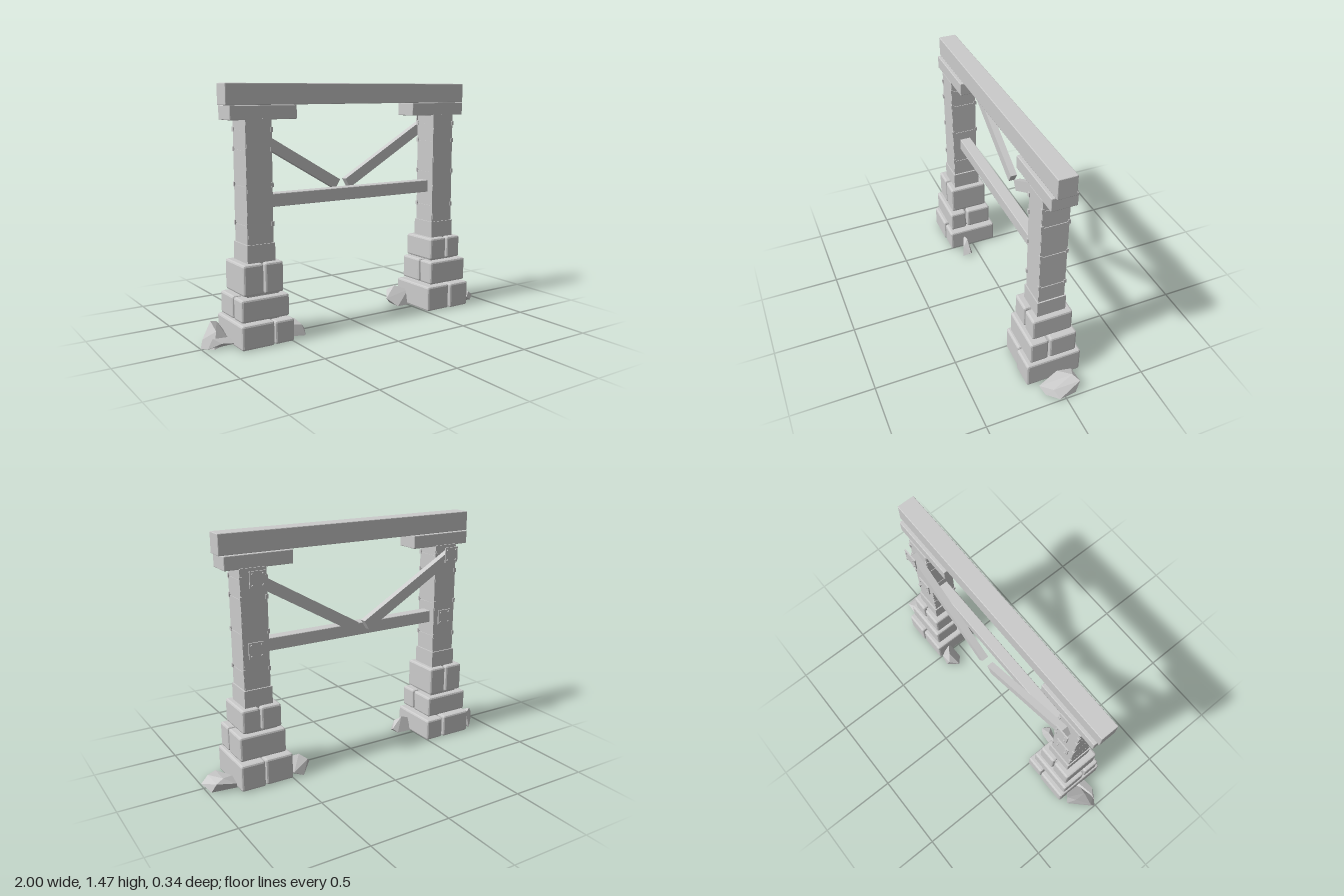
import * as THREE from 'three';
import { RoundedBoxGeometry } from 'three/addons/geometries/RoundedBoxGeometry.js';
import { ConvexGeometry } from 'three/addons/geometries/ConvexGeometry.js';

const material = new THREE.MeshStandardMaterial({ color: 0xcccccc, flatShading: true });

function add(parent, name, geometry) {
  const mesh = new THREE.Mesh(geometry, material);
  mesh.name = name;
  parent.add(mesh);
  return mesh;
}

// Box given by its extents; a bevel chamfers every edge
function block(parent, name, [x0, x1], [y0, y1], [z0, z1], bevel = 0) {
  const size = [x1 - x0, y1 - y0, z1 - z0];
  const geometry = bevel ? new RoundedBoxGeometry(...size, 1, bevel) : new THREE.BoxGeometry(...size);
  const mesh = add(parent, name, geometry);
  mesh.position.set((x0 + x1) / 2, (y0 + y1) / 2, (z0 + z1) / 2);
  return mesh;
}

// Square plate with four bolts, facing backwards
function boltedPlate(parent, x, y, z) {
  const plate = new THREE.Group();
  plate.name = 'boltedPlate';
  plate.position.set(x, y, z);
  add(plate, 'plate', new THREE.BoxGeometry(0.095, 0.095, 0.008));
  for (const sx of [-1, 1]) for (const sy of [-1, 1]) {
    const bolt = add(plate, 'bolt', new THREE.CylinderGeometry(0.006, 0.006, 0.008, 6));
    bolt.rotation.x = Math.PI / 2;
    bolt.position.set(sx * 0.032, sy * 0.032, -0.007);
  }
  parent.add(plate);
}

// Timber post with a foot, segmented side boards and corner cleats
function post(parent, x) {
  const g = new THREE.Group();
  g.name = 'post';
  g.position.x = x;
  block(g, 'postCore', [-0.077, 0.077], [0.46, 1.28], [-0.077, 0.083]);
  block(g, 'postFoot', [-0.087, 0.087], [0.46, 0.58], [-0.086, 0.09]);
  const seams = [0.58, 0.69, 0.91, 1.11, 1.22, 1.278];
  for (const s of [-1, 1]) {
    for (let i = 0; i < seams.length - 1; i++) {
      const board = block(g, 'sideBoard', [-0.004, 0.004], [seams[i] + 0.003, seams[i + 1] - 0.003], [-0.076, 0.082]);
      board.position.x = s * 0.077;
    }
    for (const y of seams.slice(1, -1)) for (const z of [-0.074, 0.08]) {
      const cleat = add(g, 'cornerCleat', new THREE.BoxGeometry(0.016, 0.026, 0.016));
      cleat.position.set(s * 0.077, y, z);
    }
  }
  boltedPlate(g, 0, 1.225, -0.13);
  boltedPlate(g, 0, 0.81, -0.082);
  parent.add(g);
}

// Diagonal brace on the back of the frame, between two points
function brace(parent, [x0, y0], [x1, y1]) {
  const mesh = add(parent, 'diagonalBrace',
    new THREE.BoxGeometry(Math.hypot(x1 - x0, y1 - y0), 0.066, 0.042));
  mesh.position.set((x0 + x1) / 2, (y0 + y1) / 2, -0.106);
  mesh.rotation.z = Math.atan2(y1 - y0, x1 - x0);
}

function rock(parent, points) {
  add(parent, 'rubbleRock', new ConvexGeometry(points.map(p => new THREE.Vector3(...p))));
}

export function createModel() {
  const model = new THREE.Group();
  model.name = 'timberGateFrame';

  // Lintel, corbels and tie beam
  block(model, 'topBeam', [-0.845, 0.855], [1.355, 1.475], [-0.05, 0.06], 0.004);
  block(model, 'corbel', [-0.83, -0.415], [1.275, 1.355], [-0.07, 0.08], 0.004);
  block(model, 'corbel', [0.42, 0.835], [1.275, 1.355], [-0.07, 0.08], 0.004);
  block(model, 'tieBeam', [-0.6, 0.61], [0.775, 0.852], [-0.035, 0.035], 0.004);

  post(model, -0.66);
  post(model, 0.67);
  brace(model, [-0.035, 0.858], [-0.67, 1.225]);
  brace(model, [0.04, 0.858], [0.685, 1.23]);

  // Stone footings: [x range, y range, z range] of each block
  const stones = [
    [[-0.825, -0.622], [0.003, 0.147], [-0.17, 0.165]],
    [[-0.615, -0.492], [0.003, 0.14], [-0.165, 0.16]],
    [[-0.815, -0.515], [0.155, 0.287], [-0.14, 0.025]],
    [[-0.815, -0.515], [0.155, 0.287], [0.035, 0.145]],
    [[-0.79, -0.665], [0.298, 0.477], [-0.12, 0.125]],
    [[-0.657, -0.54], [0.298, 0.477], [-0.12, 0.125]],
    [[0.5, 0.675], [0.005, 0.167], [-0.165, 0.165]],
    [[0.68, 0.832], [0.005, 0.167], [-0.17, 0.175]],
    [[0.53, 0.82], [0.177, 0.327], [-0.14, 0.03]],
    [[0.53, 0.82], [0.177, 0.327], [0.038, 0.152]],
    [[0.545, 0.672], [0.335, 0.477], [-0.12, 0.13]],
    [[0.682, 0.79], [0.335, 0.477], [-0.12, 0.13]],
  ];
  for (const [x, y, z] of stones) block(model, 'footingStone', x, y, z, 0.012);
  // Mortar cores close the joints between stones
  block(model, 'footingCore', [-0.76, -0.56], [0.02, 0.46], [-0.1, 0.1]);
  block(model, 'footingCore', [0.57, 0.76], [0.02, 0.46], [-0.1, 0.1]);

  // Rubble beside the footings
  rock(model, [[-1, 0.005, -0.01], [-0.98, 0.05, -0.03], [-0.9, 0.125, -0.1], [-0.85, 0.11, -0.13],
    [-0.82, 0.06, -0.1], [-0.82, 0.01, 0], [-0.87, 0.003, -0.14], [-0.9, 0.085, -0.02], [-0.94, 0.003, 0.04]]);
  rock(model, [[-0.97, 0.003, 0.02], [-0.94, 0.06, 0.02], [-0.9, 0.035, 0.055], [-0.81, 0.02, 0.05],
    [-0.81, 0.045, 0], [-0.83, 0.003, -0.03]]);
  rock(model, [[-0.52, 0.003, 0.03], [-0.52, 0.08, 0.06], [-0.44, 0.105, 0.06], [-0.41, 0.07, 0.1],
    [-0.37, 0.03, 0.06], [-0.39, 0.003, 0.11], [-0.47, 0.003, 0.08], [-0.4, 0.003, 0.04]]);
  rock(model, [[0.52, 0.003, -0.05], [0.52, 0.1, -0.07], [0.44, 0.13, -0.12], [0.4, 0.1, -0.155],
    [0.36, 0.055, -0.1], [0.42, 0.003, -0.05], [0.43, 0.003, -0.16], [0.49, 0.03, -0.15]]);
  rock(model, [[0.83, 0.003, -0.09], [0.84, 0.04, -0.11], [0.91, 0.078, -0.08], [0.96, 0.065, -0.105],
    [1, 0.015, 0.04], [0.98, 0.003, -0.07], [0.95, 0.05, 0.06], [0.88, 0.035, 0.12],
    [0.84, 0.003, 0.07], [0.83, 0.05, -0.02], [0.93, 0.003, 0.1]]);

  return model;
}
